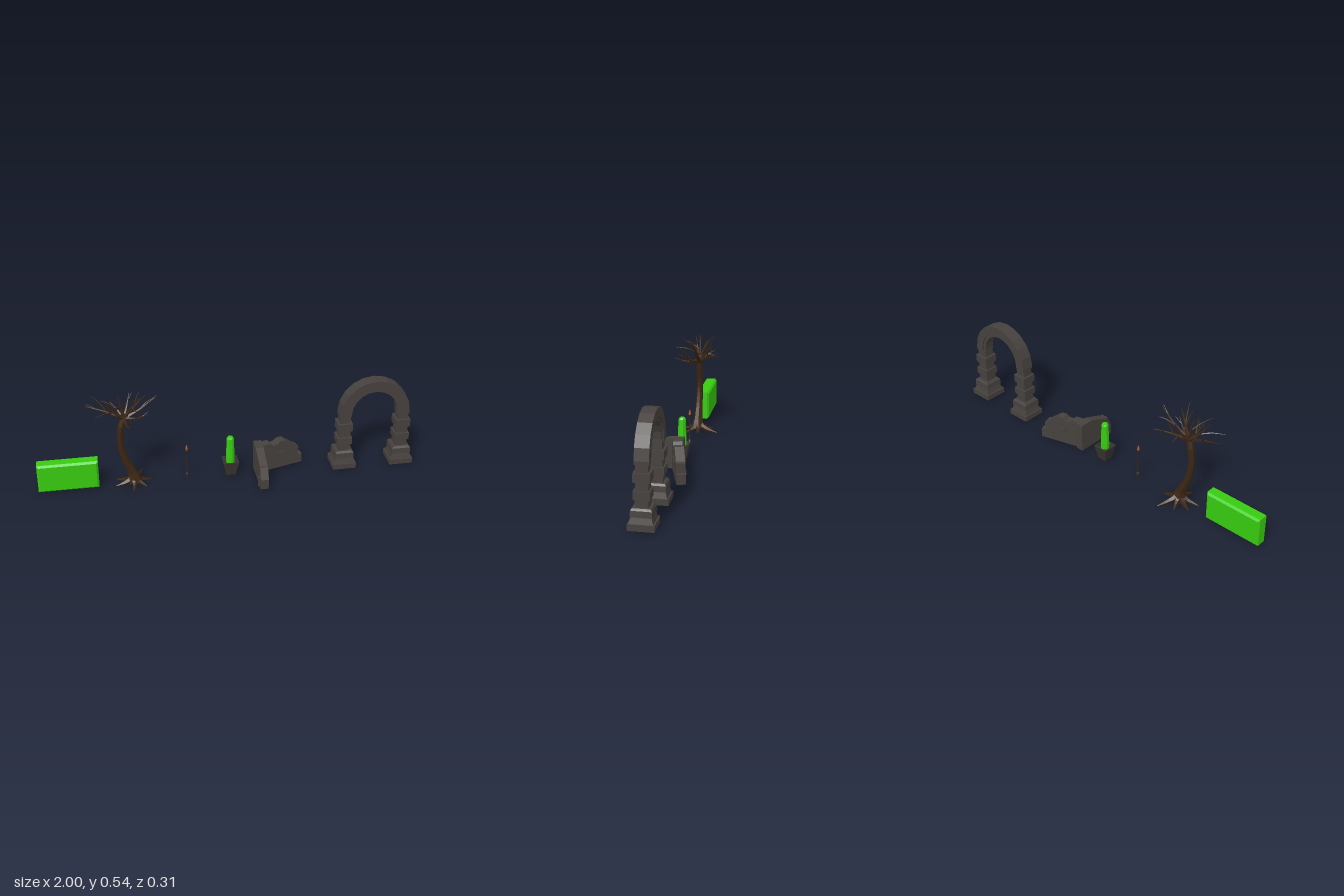
import * as THREE from 'three';

const mat = (color) => new THREE.MeshStandardMaterial({ color, flatShading: true });
const STONE = mat(0x46413e), DARK = mat(0x383432), GREEN = mat(0x38cc10);
const BARK = mat(0x3b2614), IRON = mat(0x2b2624), FLAME = mat(0xb5581c);
const V = (p) => new THREE.Vector3(...p);

function add(parent, name, geometry, material, x = 0, y = 0, z = 0) {
  const m = new THREE.Mesh(geometry, material);
  m.name = name;
  m.position.set(x, y, z);
  parent.add(m);
  return m;
}

function group(parent, name, x = 0, y = 0, z = 0) {
  const g = new THREE.Group();
  g.name = name;
  g.position.set(x, y, z);
  parent.add(g);
  return g;
}

// Turned solid with few sides; [half width, height] pairs measured to the flat faces
function faceted(profile, sides) {
  const k = 1 / Math.cos(Math.PI / sides);
  const pts = profile.map(([r, y]) => new THREE.Vector2(r * k, y));
  return new THREE.LatheGeometry(pts, sides, Math.PI / sides);
}

function extrude(points, depth, bevel = 0) {
  const shape = new THREE.Shape(points.map(([x, y]) => new THREE.Vector2(x, y)));
  const geo = new THREE.ExtrudeGeometry(shape, {
    depth: depth - 2 * bevel, bevelEnabled: bevel > 0, bevelSize: bevel,
    bevelOffset: -bevel, bevelThickness: bevel, bevelSegments: 1,
  });
  return geo.translate(0, 0, -(depth - 2 * bevel) / 2);
}

// Tube whose rings follow a list of radii
function limb(curve, radii, rings, sides) {
  const geo = new THREE.TubeGeometry(curve, rings, 1, sides);
  const pos = geo.attributes.position, v = new THREE.Vector3();
  for (let i = 0; i < pos.count; i++) {
    const t = Math.floor(i / (sides + 1)) / rings;
    const f = t * (radii.length - 1), k = Math.min(Math.floor(f), radii.length - 2);
    const r = THREE.MathUtils.lerp(radii[k], radii[k + 1], f - k);
    const c = curve.getPointAt(t);
    v.fromBufferAttribute(pos, i).sub(c).multiplyScalar(r).add(c);
    pos.setXYZ(i, v.x, v.y, v.z);
  }
  return geo;
}

function buildTree(parent) {
  const tree = group(parent, 'bareTree');
  const trunk = new THREE.CatmullRomCurve3([
    [-0.495, 0.012, -0.035], [-0.505, 0.06, -0.035], [-0.542, 0.15, -0.035],
    [-0.562, 0.25, -0.035], [-0.553, 0.35, -0.035], [-0.535, 0.41, -0.035]].map(V));
  add(tree, 'trunk', limb(trunk, [0.04, 0.025, 0.021, 0.019, 0.017, 0.017, 0.019, 0.012], 14, 7), BARK);

  // Roots spread over the ground
  const roots = [[-0.6, -0.01], [-0.59, -0.075], [-0.53, -0.12], [-0.45, -0.152],
    [-0.41, -0.05], [-0.44, 0.02], [-0.51, 0.05]];
  roots.forEach(([x, z]) => {
    const mx = (x - 0.495) / 2, mz = (z - 0.035) / 2;
    const c = new THREE.CatmullRomCurve3([[-0.5, 0.055, -0.035],
      [mx * 0.5 - 0.25, 0.025, mz * 0.5 - 0.0175], [mx, 0.014, mz], [x, 0.005, z]].map(V));
    add(tree, 'root', limb(c, [0.016, 0.016, 0.01, 0.003], 6, 5), BARK);
  });

  // Each branch: main tip, then the tip of its fork
  const branches = [
    [[-0.73, 0.475, -0.05], [-0.69, 0.505, -0.095]], [[-0.635, 0.515, 0], [-0.69, 0.455, 0.05]],
    [[-0.565, 0.537, -0.037], [-0.6, 0.5, 0.07]], [[-0.5, 0.505, -0.1], [-0.52, 0.427, -0.14]],
    [[-0.457, 0.525, 0], [-0.47, 0.485, 0.085]], [[-0.365, 0.515, -0.035], [-0.38, 0.48, -0.075]],
    [[-0.41, 0.46, -0.15], [-0.45, 0.505, -0.1]], [[-0.52, 0.412, 0.105], [-0.5, 0.445, 0.09]],
    [[-0.6, 0.45, -0.12], [-0.65, 0.48, -0.09]], [[-0.42, 0.445, 0.035], [-0.44, 0.51, 0.085]],
  ];
  const start = V([-0.537, 0.395, -0.035]);
  branches.forEach(([a, b], i) => {
    const tip = V(a), fork = V(b);
    const mid = start.clone().lerp(tip, 0.5);
    mid.y += i % 2 ? -0.012 : 0.006;
    const main = new THREE.CatmullRomCurve3([start, mid, tip]);
    add(tree, 'branch', limb(main, [0.013, 0.007, 0.0045, 0.0015], 6, 5), BARK);
    const s = main.getPointAt(0.45);
    const bend = s.clone().lerp(fork, 0.5);
    bend.y += 0.008;
    const side = new THREE.CatmullRomCurve3([s, bend, fork]);
    add(tree, 'fork', limb(side, [0.0045, 0.0035, 0.0012], 4, 4), BARK);
    const t = main.getPointAt(0.7), e = t.clone().lerp(tip, 0.6);
    e.add(new THREE.Vector3(0.02 * (i % 2 ? 1 : -1), 0.015, 0.015 * (i % 3 - 1)));
    add(tree, 'twig', limb(new THREE.LineCurve3(t, e), [0.0028, 0.001], 1, 4), BARK);
  });
}

function buildRuin(parent) {
  const ruin = group(parent, 'ruinedWall');
  // Sloping wing that runs forward
  const wingA = add(ruin, 'frontWing', extrude([[-0.152, 0.01], [0.075, 0.01], [0.075, 0.17],
    [0, 0.17], [-0.11, 0.127], [-0.125, 0.125], [-0.152, 0.065]], 0.042), STONE, 0.163);
  wingA.rotation.y = Math.PI / 2;
  add(ruin, 'buttress', new THREE.BoxGeometry(0.056, 0.056, 0.016), STONE, 0.163, 0.038, 0.118);

  // Broken wing that runs sideways
  const wingB = group(ruin, 'sideWing', 0.15, 0, -0.03);
  wingB.rotation.y = 0.28;
  add(wingB, 'wall', extrude([[0, 0.01], [0.265, 0.01], [0.265, 0.062], [0.243, 0.062], [0.243, 0.112],
    [0.228, 0.118], [0.16, 0.17], [0.13, 0.17], [0.115, 0.157], [0.09, 0.153], [0.075, 0.17],
    [0, 0.17]], 0.047), STONE);
  add(wingB, 'brick', new THREE.BoxGeometry(0.036, 0.025, 0.06), STONE, 0.135, 0.097, 0);
  add(wingB, 'brick', new THREE.BoxGeometry(0.03, 0.022, 0.03), STONE, 0.205, 0.055, -0.014);
}

function buildArch(parent) {
  const arch = group(parent, 'archway', 0.78, 0, -0.031);
  // Stepped square pillars
  const pillar = [[0, 0.01], [0.0625, 0.01], [0.0625, 0.04], [0.055, 0.04], [0.047, 0.07], [0.051, 0.07],
    [0.049, 0.1], [0.042, 0.11], [0.031, 0.11], [0.031, 0.147], [0.039, 0.147], [0.039, 0.187],
    [0.03, 0.187], [0.03, 0.226], [0.039, 0.226], [0.039, 0.27], [0.028, 0.27], [0.028, 0.31], [0, 0.31]];
  for (const s of [-1, 1]) add(arch, 'pillar', faceted(pillar, 4), STONE, s * 0.157);

  // Half ring with short straight feet
  const N = 10, cy = 0.323, foot = 0.307;
  const ring = (inner, outer, depth) => {
    const half = (r) => Array.from({ length: N + 1 }, (_, i) => {
      const a = (i / N) * Math.PI;
      return [r * Math.cos(a), cy + r * Math.sin(a)];
    });
    return extrude([[outer, foot], ...half(outer), [-outer, foot],
      [-inner, foot], ...half(inner).reverse(), [inner, foot]], depth);
  };
  add(arch, 'outerRing', ring(0.142, 0.188, 0.068), STONE);
  add(arch, 'innerRing', ring(0.124, 0.143, 0.054), STONE);
}

export function createModel() {
  const model = new THREE.Group();
  model.name = 'gardenSet';

  // Clipped hedge with bevelled edges
  add(model, 'hedge', extrude([[-1, 0.01], [-0.685, 0.01], [-0.685, 0.17], [-1, 0.17]], 0.068, 0.01),
    GREEN, 0, 0, -0.034);

  buildTree(model);

  // Standing torch
  const torch = group(model, 'torch', -0.22, 0, -0.036);
  add(torch, 'post', faceted([[0, 0.01], [0.01, 0.01], [0.009, 0.028], [0.005, 0.036], [0.0045, 0.15],
    [0.006, 0.155], [0.009, 0.175], [0.007, 0.178], [0, 0.175]], 8), IRON);
  add(torch, 'flame', faceted([[0.004, 0.172], [0.006, 0.182], [0.004, 0.194], [0, 0.206]], 6), FLAME);

  // Square planter with a tall shrub
  const planter = group(model, 'planter', 0.012, 0, -0.036);
  add(planter, 'pot', faceted([[0, 0.01], [0.025, 0.01], [0.041, 0.09], [0.034, 0.09],
    [0.032, 0.078], [0, 0.078]], 4), DARK);
  add(planter, 'shrub', faceted([[0.021, 0.075], [0.022, 0.11], [0.018, 0.222], [0.013, 0.231],
    [0, 0.231]], 8), GREEN);

  buildRuin(model);
  buildArch(model);
  return model;
}
